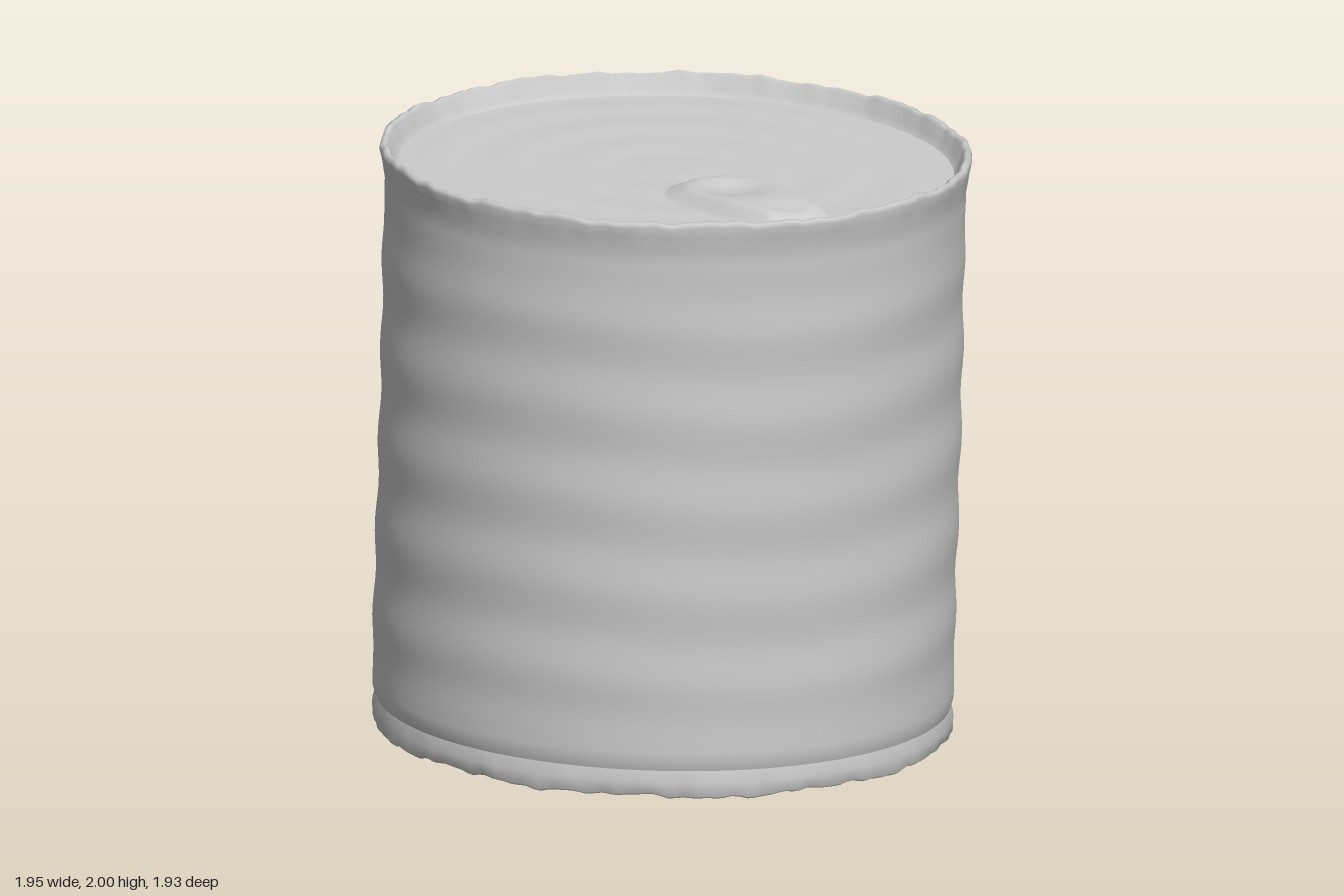
import * as THREE from 'three';
import { mergeVertices } from 'three/addons/utils/BufferGeometryUtils.js';

const HEIGHT = 1.94;
const LID_Y = 1.87;
const material = new THREE.MeshStandardMaterial({ color: 0xcccccc });

// Periodic crinkle around the can, roughly -1..1
const crinkle = (a, k) =>
  0.4 * Math.sin(9 * a + k) + 0.3 * Math.sin(23 * a + 2.1 * k) +
  0.25 * Math.sin(41 * a + 3.7 * k) + 0.2 * Math.sin(67 * a + 0.6 * k);

// Surface of revolution whose vertices are dented by a rule
function dentedLathe(name, profile, segments, rule) {
  const points = profile.map(([r, y]) => new THREE.Vector2(r, y));
  let geometry = new THREE.LatheGeometry(points, segments);
  geometry.deleteAttribute('uv');
  geometry.deleteAttribute('normal');
  const p = geometry.attributes.position;
  for (let i = 0; i < p.count; i++) {
    const r = Math.hypot(p.getX(i), p.getZ(i));
    const a = Math.atan2(p.getZ(i), p.getX(i));
    const [dr, dy] = rule(r, p.getY(i), a);
    p.setXYZ(i, Math.cos(a) * (r + dr), p.getY(i) + dy, Math.sin(a) * (r + dr));
  }
  geometry = mergeVertices(geometry, 1e-4);
  geometry.computeVertexNormals();
  const mesh = new THREE.Mesh(geometry, material);
  mesh.name = name;
  return mesh;
}

// Side wall with shallow ribs
function wall() {
  const profile = [[0.937, 0.09]];
  for (let i = 0; i <= 60; i++) profile.push([0.946, 0.12 + (i / 60) * 1.7]);
  profile.push([0.951, 1.85]);
  return dentedLathe('wall', profile, 128, (r, y, a) => {
    const fade = Math.min(1, Math.max(0, Math.min(y - 0.15, 1.78 - y) / 0.2));
    const rib = 0.004 * Math.sin((y * Math.PI * 2) / 0.3 + 0.5 * Math.sin(3 * a));
    return [fade * (rib + 0.002 * Math.sin(5 * a + 4 * y)), 0];
  });
}

// Crinkled seams: lower and upper rim
function rims() {
  const bottom = [[0.895, 0.065], [0.912, 0.05], [0.92, 0.01], [0.93, 0], [0.943, 0.008], [0.946, 0.05], [0.937, 0.09]];
  const top = [[0.951, 1.85], [0.957, 1.89], [0.964, 1.92], [0.96, HEIGHT - 0.004], [0.947, HEIGHT],
    [0.934, 1.93], [0.922, 1.89], [0.905, LID_Y]];
  return [
    dentedLathe('bottomRim', bottom, 220, (r, y, a) => {
      const w = Math.max(0, 1 - y / 0.065);
      return [0.005 * w * crinkle(a, 1.3), 0.011 * w * crinkle(a, 4.2)];
    }),
    dentedLathe('topRim', top, 220, (r, y, a) => {
      const w = Math.max(0, (y - LID_Y) / (HEIGHT - LID_Y));
      return [0.004 * w * crinkle(a, 2.7), 0.01 * w * crinkle(a, 0.4)];
    }),
  ];
}

// End discs with faint concentric waves
function ends() {
  const disc = [];
  for (let i = 0; i <= 24; i++) disc.push((i / 24));
  const wave = (r, y, a) => [0, r > 0.01 && r < 0.87 ? 0.002 * Math.sin(r * 26) + 0.0015 * Math.sin(3 * a) * r : 0];
  return [
    dentedLathe('bottom', disc.map((t) => [t * 0.895, 0.065]), 96, wave),
    dentedLathe('lid', disc.map((t) => [(1 - t) * 0.905, LID_Y]), 96, wave),
  ];
}

// Softly raised pull tab: tapered capsule with a finger hollow and a rivet dimple
function pullTab() {
  const rings = 22, sides = 72, half = 0.18;
  const positions = [], index = [];
  const hollow = (u, v, cu, size, depth) => depth * Math.exp(-(((u - cu) ** 2 + v * v) / (size * size)));
  for (let i = 0; i <= rings; i++) {
    const s = i / rings;
    for (let j = 0; j < sides; j++) {
      const a = (j / sides) * Math.PI * 2, c = Math.cos(a);
      const r = 0.195 - 0.06 * c;
      const u = s * (half * THREE.MathUtils.clamp(c * 2, -1, 1) + r * c);
      const v = s * r * Math.sin(a);
      const rise = THREE.MathUtils.smoothstep(1 - s, 0, 0.4);
      const y = -0.006 + 0.058 * rise - rise * (hollow(u, v, -0.16, 0.12, 0.03) + hollow(u, v, 0.18, 0.07, 0.014));
      positions.push(u, y, v);
      if (i < rings) {
        const k = (j + 1) % sides;
        const p = i * sides + j, q = i * sides + k, P = p + sides, Q = q + sides;
        if (i > 0) index.push(p, q, P);
        index.push(q, Q, P);
      }
    }
  }
  let geometry = new THREE.BufferGeometry();
  geometry.setAttribute('position', new THREE.Float32BufferAttribute(positions, 3));
  geometry.setIndex(index);
  geometry = mergeVertices(geometry, 1e-5);
  geometry.computeVertexNormals();
  const mesh = new THREE.Mesh(geometry, material);
  mesh.name = 'pullTab';
  mesh.position.set(0.5, LID_Y, 0.26);
  mesh.rotation.y = -0.36;
  return mesh;
}

export function createModel() {
  const can = new THREE.Group();
  can.name = 'can';
  can.add(wall(), ...rims(), ...ends(), pullTab());
  // The can leans slightly
  can.rotation.set(-0.01, 0, -0.022);
  can.position.set(-0.035, 0.034, 0.01);
  const model = new THREE.Group();
  model.name = 'foodCan';
  model.add(can);
  return model;
}
